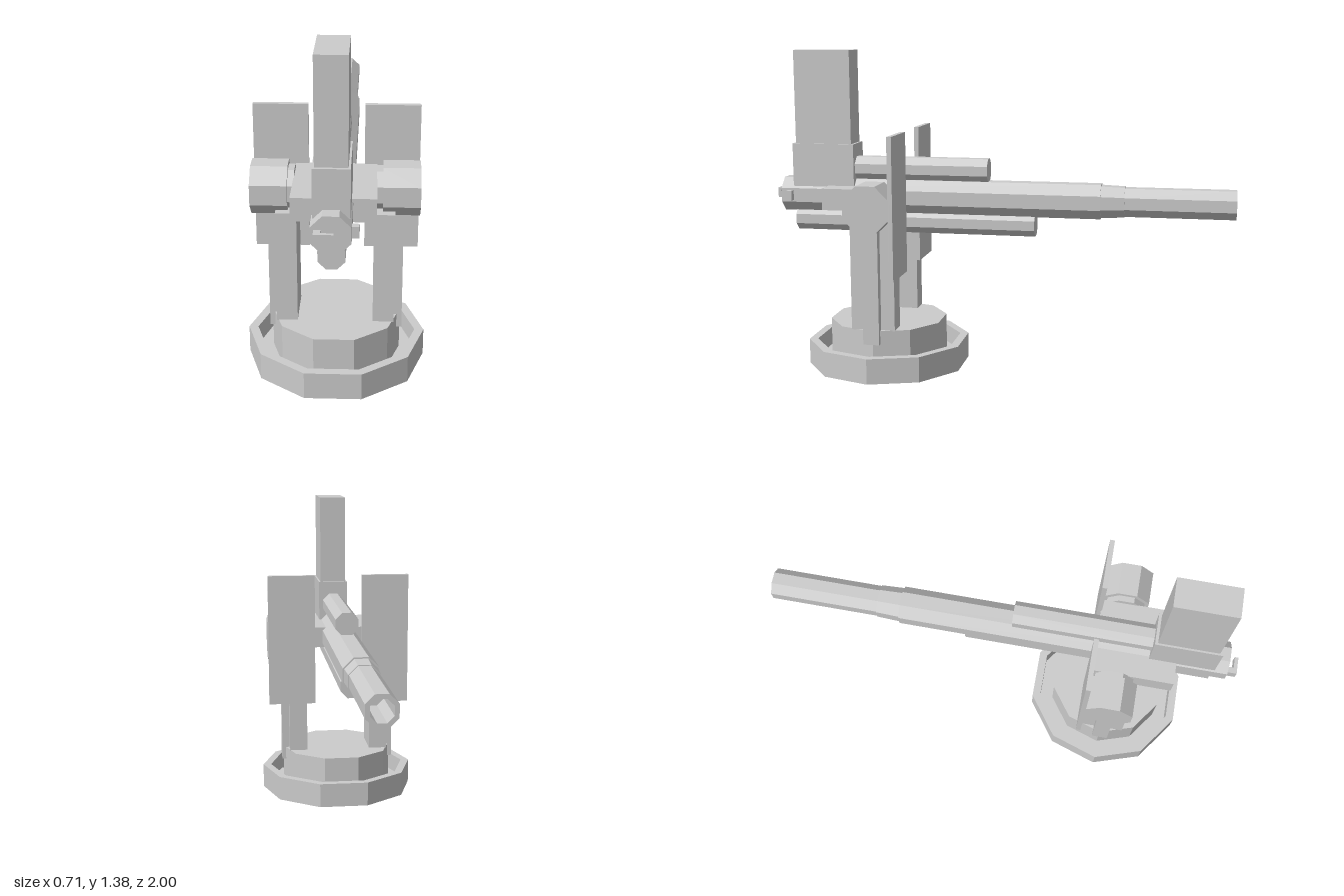
import * as THREE from 'three';

const material = new THREE.MeshStandardMaterial({ color: 0xcccccc, flatShading: true });
const FLAT = 1 / Math.cos(Math.PI / 8); // flat-to-flat half width -> corner radius
const MOUNT_Z = 0.5;

export function createModel() {
  const model = new THREE.Group();
  model.name = 'deckGun';

  const add = (name, geometry) => {
    const mesh = new THREE.Mesh(geometry, material);
    mesh.name = name;
    model.add(mesh);
    return mesh;
  };

  // Box given by its limits on each axis
  const box = (name, x0, x1, y0, y1, z0, z1) =>
    add(name, new THREE.BoxGeometry(x1 - x0, y1 - y0, z1 - z0)
      .translate((x0 + x1) / 2, (y0 + y1) / 2, (z0 + z1) / 2));

  // Octagonal bar, flat side up, along z or x
  const octagon = (halfWidth, length) =>
    new THREE.CylinderGeometry(halfWidth * FLAT, halfWidth * FLAT, length, 8, 1, false, Math.PI / 8);
  const barZ = (name, r, y, z0, z1) =>
    add(name, octagon(r, z1 - z0).rotateX(Math.PI / 2).translate(0, y, (z0 + z1) / 2));
  const barX = (name, r, y, x0, x1) =>
    add(name, octagon(r, x1 - x0).rotateZ(Math.PI / 2).translate((x0 + x1) / 2, y, MOUNT_Z));

  const lathe = (points, sides, start) =>
    new THREE.LatheGeometry(points.map(([r, h]) => new THREE.Vector2(r, h)), sides, start);

  // Ten-sided base tray with raised rim, and the turntable inside it
  add('baseRing', lathe([
    [0, 0.01], [0.325, 0.01], [0.325, 0], [0.355, 0],
    [0.355, 0.11], [0.318, 0.11], [0.318, 0.03], [0, 0.03],
  ], 10, Math.PI / 2).translate(0, 0, MOUNT_Z));
  add('turntable', new THREE.CylinderGeometry(0.256, 0.256, 0.17, 10, 1, false, Math.PI / 2)
    .translate(0, 0.118, MOUNT_Z));

  // Posts, trunnions and shields on both sides
  for (const [side, s] of [['left', 1], ['right', -1]]) {
    const span = (a, b) => (s > 0 ? [a, b] : [-b, -a]);
    box(side + 'Post', ...span(0.148, 0.23), 0.2, 0.665, 0.41, 0.6);
    box(side + 'PostRib', ...span(0.225, 0.264), 0.145, 0.66, 0.47, 0.54);
    barX(side + 'TrunnionCollar', 0.08, 0.737, ...span(0.158, 0.19));
    barX(side + 'TrunnionDrum', 0.098, 0.737, ...span(0.183, 0.326));
    box(side + 'Shield', ...span(0.11, 0.326), 0.437, 1.04, 0.385, 0.405);
  }

  // Cradle joining the trunnions
  box('cradle', -0.16, 0.16, 0.702, 0.795, 0.4, 0.745);

  // Stepped barrel with hollow muzzle
  add('barrel', lathe([
    [0, -0.75], [0.043, -0.75], [0.043, -1], [0.06, -1], [0.06, -0.54], [0.063, -0.54],
    [0.067, -0.44], [0.073, -0.44], [0.073, 0.96], [0, 0.96],
  ].map(([r, h]) => [r * FLAT, h]), 8, Math.PI / 8)
    .rotateX(Math.PI / 2).translate(0, 0.75, 0));

  // Recoil cylinders above and below
  barZ('upperRecoilCylinder', 0.05, 0.87, 0.045, 0.66);
  barZ('lowerRecoilCylinder', 0.05, 0.641, -0.16, 0.905);

  // Ammunition feed
  box('feedHousing', -0.068, 0.068, 0.79, 0.977, 0.63, 0.905);
  box('magazine', -0.06, 0.06, 0.96, 1.38, 0.642, 0.892);

  // Breech handle and side knob
  box('breechHandleStem', -0.06, -0.035, 0.728, 0.772, 0.95, 0.988);
  box('breechHandleGrip', -0.06, 0.012, 0.728, 0.772, 0.985, 1);
  box('sideKnob', 0.065, 0.1, 0.728, 0.772, 0.905, 0.932);

  return model;
}
